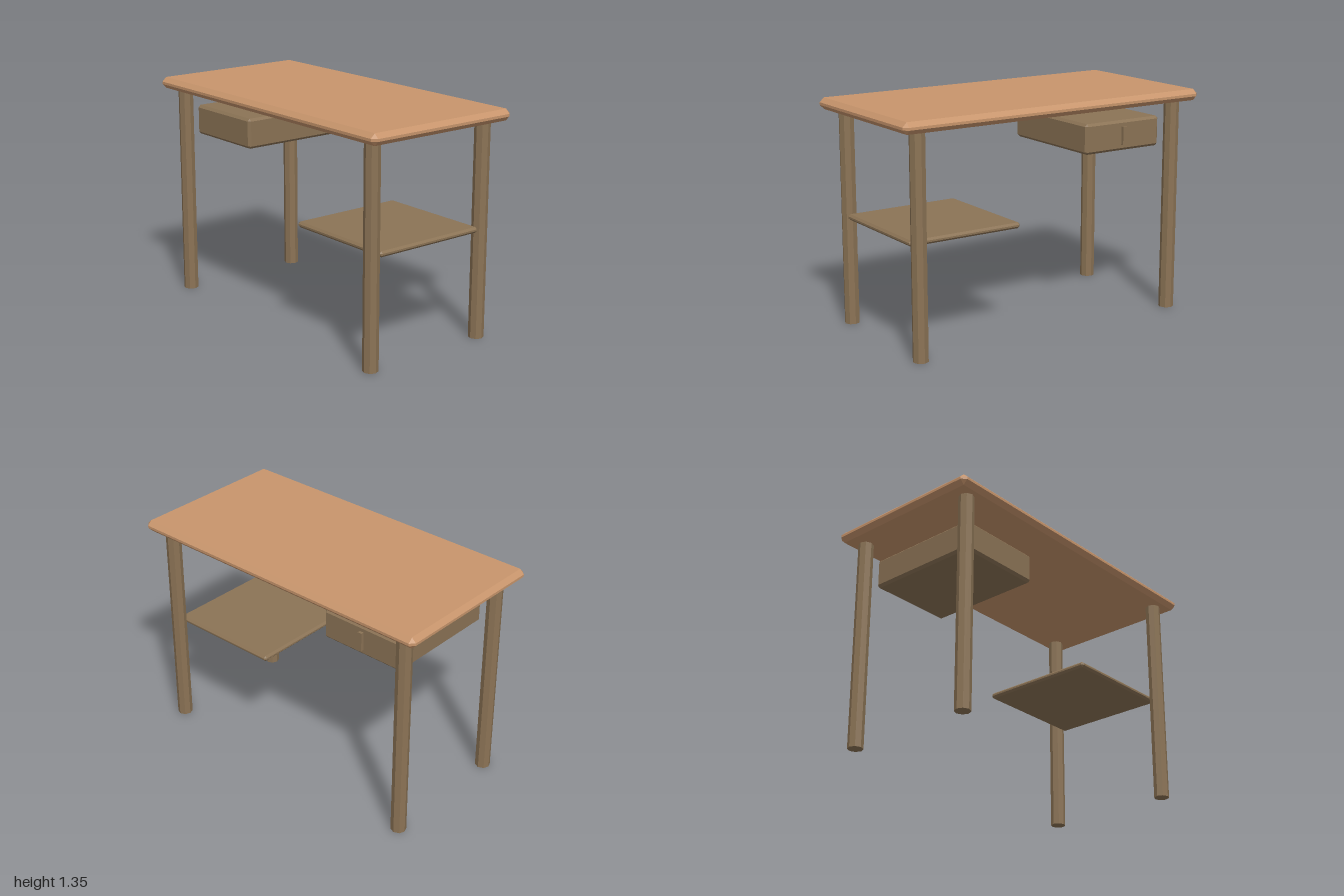
import * as THREE from 'three';
import { ConvexGeometry } from 'three/addons/geometries/ConvexGeometry.js';

const topWood = new THREE.MeshStandardMaterial({ color: 0xc8956c, flatShading: true });
const darkWood = new THREE.MeshStandardMaterial({ color: 0x8b7355, flatShading: true });

// Box with all edges and corners cut by a flat chamfer c
function chamferBox(w, h, d, c) {
  const points = [];
  for (const sx of [-1, 1]) for (const sy of [-1, 1]) for (const sz of [-1, 1]) {
    const [x, y, z] = [w / 2, h / 2, d / 2];
    points.push(
      new THREE.Vector3(sx * x, sy * (y - c), sz * (z - c)),
      new THREE.Vector3(sx * (x - c), sy * y, sz * (z - c)),
      new THREE.Vector3(sx * (x - c), sy * (y - c), sz * z)
    );
  }
  return new ConvexGeometry(points);
}

export function createModel() {
  const desk = new THREE.Group();
  desk.name = 'desk';
  const add = (name, geometry, material, x, y, z) => {
    const mesh = new THREE.Mesh(geometry, material);
    mesh.name = name;
    mesh.position.set(x, y, z);
    desk.add(mesh);
  };

  // Thick tabletop with bevelled rim
  add('tabletop', chamferBox(2, 0.067, 1, 0.026), topWood, 0, 1.3115, 0);

  // Four octagonal legs
  const legGeometry = new THREE.CylinderGeometry(0.045, 0.045, 1.28, 8);
  for (const [sx, side] of [[1, 'Left'], [-1, 'Right']])
    for (const [sz, end] of [[1, 'front'], [-1, 'back']])
      add(`${end}${side}Leg`, legGeometry, darkWood, sx * 0.872, 0.64, sz * 0.4);

  // Drawer box with an upright pull on its back face
  add('drawer', chamferBox(0.54, 0.18, 0.714, 0.015), darkWood, -0.545, 1.093, 0);
  add('drawerHandle', new THREE.BoxGeometry(0.026, 0.11, 0.03), darkWood, -0.545, 1.093, -0.36);

  // Thin open shelf
  add('shelf', chamferBox(0.72, 0.034, 0.72, 0.012), darkWood, 0.543, 0.656, 0);

  return desk;
}
